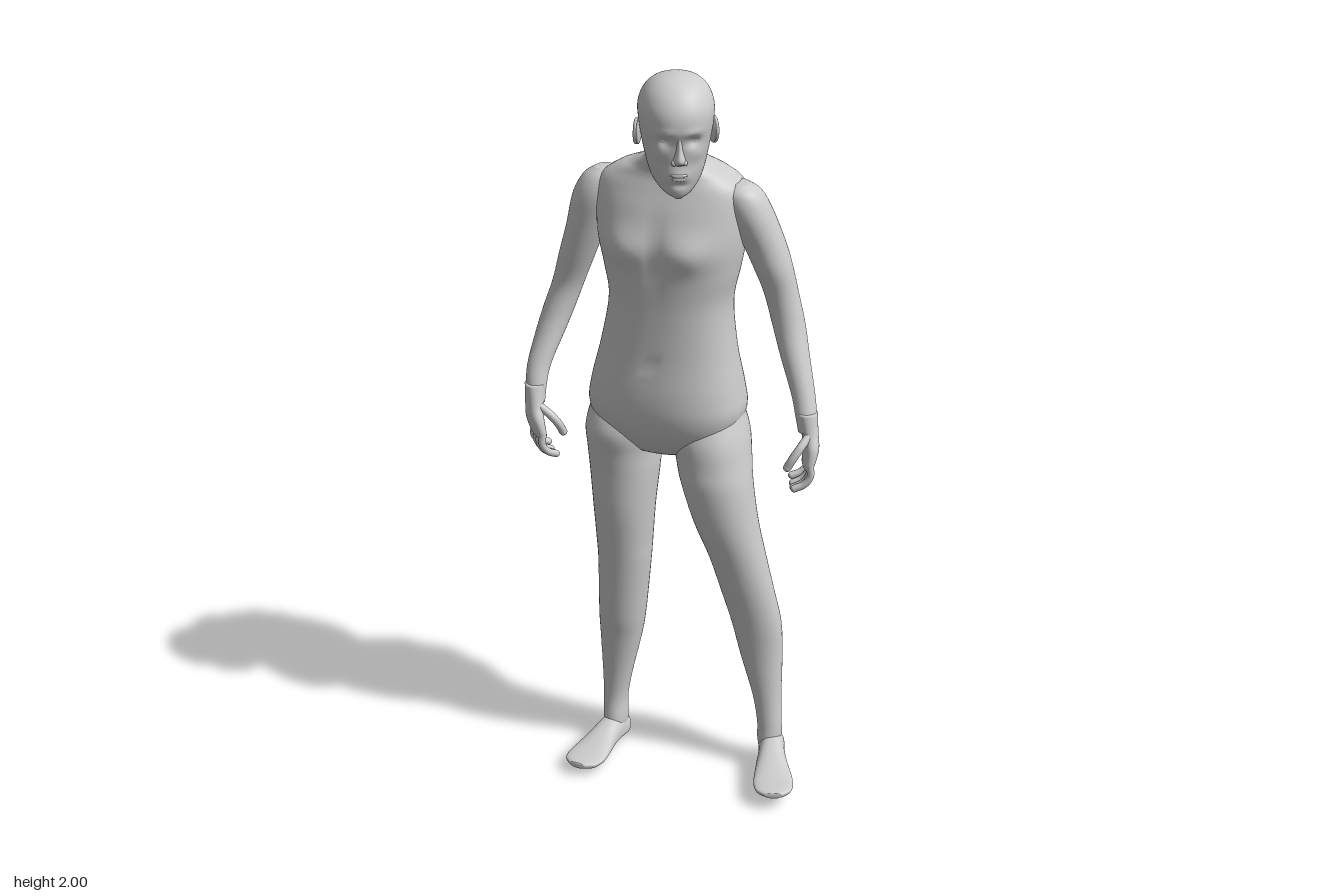
import * as THREE from 'three';

const skin = new THREE.MeshStandardMaterial({ color: 0xcccccc });
skin.name = 'skinGrey';

const gauss = (d, s) => Math.exp(-(d * d) / (s * s));

function part(name, geometry, parent) {
  const m = new THREE.Mesh(geometry, skin);
  m.name = name;
  parent.add(m);
  return m;
}

function ellipsoid(name, parent, pos, scale) {
  const m = part(name, new THREE.SphereGeometry(1, 24, 16), parent);
  m.position.set(...pos);
  m.scale.set(...scale);
  return m;
}

// Smooth interpolation between cross-sections
function spline(s, i, t) {
  const p0 = s[Math.max(i - 1, 0)], p1 = s[i], p2 = s[i + 1], p3 = s[Math.min(i + 2, s.length - 1)];
  return p1.map((b, k) => {
    const a = p0[k], c = p2[k], d = p3[k];
    return b + 0.5 * t * (c - a + t * (2 * a - 5 * b + 4 * c - d + t * (3 * (b - c) + d - a)));
  });
}

// Sections, rising: [x, y, z, halfWidth, frontDepth, backDepth].
// Bumps: [u, y, spreadU, spreadY, amount, side (1 front, -1 back)], mirrored in u.
function loft(sections, { yaw = 0, power = 2, bumps = [], seg = 40, steps = 6 } = {}) {
  const s = [...sections].sort((a, b) => a[1] - b[1]);
  const rings = [];
  for (let i = 0; i < s.length - 1; i++)
    for (let j = 0; j < steps; j++) rings.push(spline(s, i, j / steps));
  rings.push(s[s.length - 1]);
  const cap = r => [r[0], r[1], r[2], 0, 0, 0];
  const all = [cap(rings[0]), ...rings, cap(rings[rings.length - 1])];
  const pos = [], idx = [], ca = Math.cos(yaw), sa = Math.sin(yaw);
  const bend = v => Math.sign(v) * Math.abs(v) ** (2 / power);
  all.forEach(([x, y, z, w, f, k], r) => {
    for (let j = 0; j < seg; j++) {
      const a = (j / seg) * Math.PI * 2, si = Math.sin(a);
      const u = bend(Math.cos(a)) * Math.max(w, 0);
      let v = bend(si) * Math.max(si > 0 ? f : k, 0);
      if (r > 0 && r < all.length - 1)
        for (const [bu, by, su, sy, amt, side] of bumps)
          if (si * side > 0) v += side * amt * Math.abs(si) * gauss(Math.abs(u) - bu, su) * gauss(y - by, sy);
      pos.push(x + u * ca - v * sa, y, z + u * sa + v * ca);
      if (r < all.length - 1) {
        const n = (j + 1) % seg, p = r * seg + j, q = r * seg + n;
        idx.push(p, p + seg, q, q, p + seg, q + seg);
      }
    }
  });
  const g = new THREE.BufferGeometry();
  g.setAttribute('position', new THREE.Float32BufferAttribute(pos, 3));
  g.setIndex(idx);
  g.computeVertexNormals();
  return g;
}

function makeTorso(body) {
  part('torsoAndNeck', loft([
    [0, 0.95, -0.085, 0.10, 0.09, 0.10], [0, 1.0, -0.09, 0.18, 0.13, 0.155],
    [0, 1.06, -0.09, 0.21, 0.15, 0.168], [0, 1.13, -0.085, 0.203, 0.15, 0.16],
    [0.003, 1.24, -0.075, 0.18, 0.135, 0.13], [0.008, 1.37, -0.065, 0.163, 0.125, 0.12],
    [0.01, 1.46, -0.065, 0.178, 0.13, 0.13], [0.01, 1.54, -0.07, 0.193, 0.138, 0.14],
    [0.01, 1.62, -0.075, 0.198, 0.122, 0.145], [0.01, 1.68, -0.075, 0.19, 0.1, 0.132],
    [0.01, 1.715, -0.07, 0.15, 0.085, 0.11], [0.01, 1.74, -0.055, 0.1, 0.075, 0.09],
    [0.01, 1.775, -0.02, 0.062, 0.065, 0.06], [0.01, 1.83, 0.03, 0.055, 0.05, 0.05],
  ], {
    yaw: 0.44, power: 2.35, seg: 72, bumps: [
      [0.09, 1.53, 0.06, 0.045, 0.017, 1],    // chest
      [0, 1.53, 0.022, 0.09, -0.008, 1],      // breastbone
      [0, 1.225, 0.012, 0.012, -0.008, 1],    // navel
      [0.1, 1.56, 0.05, 0.08, 0.012, -1],     // shoulder blades
      [0, 1.42, 0.025, 0.2, -0.014, -1],      // spine
      [0.09, 1.06, 0.06, 0.06, 0.012, -1],    // buttocks
      [0, 1.02, 0.022, 0.08, -0.04, -1],      // cleft
    ],
  }), body);
}

function makeHead(body) {
  const head = new THREE.Group();
  head.name = 'head';
  body.add(head);
  // y, front z, back z, half width
  const profile = [
    [1.702, 0.138, 0.10, 0.018], [1.715, 0.15, 0.06, 0.042], [1.74, 0.156, 0.03, 0.06],
    [1.77, 0.16, -0.005, 0.071], [1.80, 0.161, -0.03, 0.078], [1.84, 0.166, -0.042, 0.086],
    [1.88, 0.176, -0.046, 0.092], [1.92, 0.172, -0.044, 0.094], [1.955, 0.153, -0.03, 0.083],
    [1.98, 0.125, -0.005, 0.062], [1.994, 0.095, 0.022, 0.036], [2.0, 0.065, 0.05, 0.008],
  ];
  part('skull', loft(profile.map(([y, f, b, w]) => [0.01, y, 0.05, w, f - 0.05, 0.05 - b]), {
    power: 2.15, seg: 96, bumps: [
      [0.035, 1.854, 0.017, 0.013, -0.014, 1],  // eye sockets
      [0.035, 1.877, 0.025, 0.008, 0.004, 1],   // brows
      [0.05, 1.82, 0.02, 0.018, 0.006, 1],      // cheekbones
      [0, 1.765, 0.025, 0.016, 0.005, 1],       // mouth
      [0, 1.742, 0.025, 0.008, -0.005, 1],      // chin crease
    ],
  }), head);
  part('nose', loft([
    [0.01, 1.793, 0.148, 0.01, 0.014, 0.01], [0.01, 1.801, 0.148, 0.018, 0.03, 0.01],
    [0.01, 1.811, 0.148, 0.016, 0.037, 0.01], [0.01, 1.835, 0.148, 0.010, 0.029, 0.01],
    [0.01, 1.868, 0.148, 0.009, 0.023, 0.01],
  ], { seg: 24 }), head);
  ellipsoid('upperLip', head, [0.01, 1.769, 0.159], [0.021, 0.005, 0.007]);
  ellipsoid('lowerLip', head, [0.01, 1.759, 0.158], [0.018, 0.0055, 0.007]);
  for (const [side, name] of [[1, 'left'], [-1, 'right']]) {
    ellipsoid(name + 'Eye', head, [0.01 + side * 0.034, 1.854, 0.138], [0.015, 0.01, 0.012]);
    ellipsoid(name + 'Nostril', head, [0.01 + side * 0.013, 1.802, 0.164], [0.007, 0.007, 0.01]);
    // Ear: flat lobe with a raised rim
    const ear = new THREE.Group();
    ear.name = name + 'Ear';
    ellipsoid('earLobe', ear, [0, 0, 0], [0.007, 0.035, 0.022]);
    const rim = part('earRim', new THREE.TorusGeometry(0.026, 0.005, 10, 32, 4.6), ear);
    rim.rotation.set(0, Math.PI / 2, 0);
    rim.scale.set(0.75, 1.15, 1);
    rim.position.x = side * 0.005;
    ear.position.set(0.01 + side * 0.091, 1.847, 0.04);
    ear.rotation.set(0.15, side * 0.3, 0);
    head.add(ear);
  }
}

function makeLimbs(body) {
  part('leftLeg', loft([
    [0.10, 1.08, -0.045, 0.09, 0.09, 0.11], [0.11, 1.0, -0.038, 0.102, 0.118, 0.142],
    [0.118, 0.93, -0.02, 0.1, 0.112, 0.112], [0.124, 0.87, 0, 0.096, 0.1, 0.1],
    [0.147, 0.76, 0.01, 0.087, 0.088, 0.085], [0.18, 0.65, 0.015, 0.077, 0.072, 0.07],
    [0.207, 0.55, 0.015, 0.073, 0.062, 0.06], [0.235, 0.44, 0.01, 0.068, 0.056, 0.066],
    [0.25, 0.34, 0.01, 0.058, 0.05, 0.056], [0.266, 0.22, 0.025, 0.04, 0.039, 0.037],
    [0.273, 0.14, 0.036, 0.034, 0.036, 0.035], [0.275, 0.09, 0.032, 0.034, 0.045, 0.034],
    [0.277, 0.055, 0.03, 0.03, 0.05, 0.03],
  ], { yaw: 0.3, power: 2.1 }), body);
  part('rightLeg', loft([
    [-0.10, 1.08, -0.13, 0.09, 0.09, 0.105], [-0.11, 1.0, -0.13, 0.102, 0.12, 0.13],
    [-0.112, 0.93, -0.128, 0.098, 0.11, 0.108], [-0.112, 0.87, -0.123, 0.094, 0.1, 0.097],
    [-0.115, 0.76, -0.117, 0.084, 0.088, 0.087], [-0.115, 0.65, -0.12, 0.077, 0.077, 0.075],
    [-0.116, 0.58, -0.12, 0.073, 0.069, 0.07], [-0.123, 0.42, -0.13, 0.065, 0.062, 0.074],
    [-0.127, 0.34, -0.136, 0.058, 0.053, 0.066], [-0.137, 0.22, -0.139, 0.042, 0.041, 0.044],
    [-0.143, 0.14, -0.138, 0.034, 0.036, 0.035], [-0.143, 0.08, -0.137, 0.034, 0.045, 0.034],
    [-0.143, 0.035, -0.137, 0.03, 0.05, 0.03],
  ], { yaw: 0.44, power: 2.1 }), body);
  part('leftArm', loft([
    [0.175, 1.695, -0.002, 0.025, 0.025, 0.03], [0.182, 1.672, 0, 0.05, 0.052, 0.056],
    [0.2, 1.62, 0, 0.061, 0.064, 0.066], [0.24, 1.53, 0.003, 0.056, 0.06, 0.06],
    [0.262, 1.47, 0.008, 0.051, 0.055, 0.055], [0.284, 1.4, 0.008, 0.045, 0.049, 0.05],
    [0.303, 1.32, 0.02, 0.043, 0.045, 0.045], [0.318, 1.24, 0.05, 0.038, 0.04, 0.04],
    [0.336, 1.15, 0.09, 0.031, 0.03, 0.032], [0.342, 1.1, 0.11, 0.028, 0.028, 0.028],
    [0.345, 1.06, 0.12, 0.024, 0.026, 0.026],
  ]), body);
  part('rightArm', loft([
    [-0.155, 1.695, -0.155, 0.025, 0.025, 0.03], [-0.163, 1.672, -0.158, 0.05, 0.052, 0.054],
    [-0.18, 1.62, -0.163, 0.06, 0.064, 0.064], [-0.205, 1.53, -0.175, 0.053, 0.058, 0.06],
    [-0.226, 1.46, -0.188, 0.049, 0.053, 0.054], [-0.252, 1.37, -0.205, 0.043, 0.046, 0.048],
    [-0.278, 1.3, -0.2, 0.042, 0.043, 0.044], [-0.302, 1.24, -0.185, 0.039, 0.04, 0.04],
    [-0.335, 1.16, -0.15, 0.032, 0.03, 0.032], [-0.345, 1.11, -0.132, 0.028, 0.028, 0.028],
    [-0.348, 1.06, -0.12, 0.024, 0.026, 0.026],
  ]), body);
}

// Foot: lofted heel to toe, then laid forward
function makeFoot(name, body, pos, yaw, pitch) {
  const g = loft([
    [0, -0.043, -0.03, 0.012, 0.01, 0.012], [0, -0.034, -0.028, 0.027, 0.023, 0.026],
    [0, -0.008, -0.026, 0.036, 0.026, 0.045], [0, 0.04, -0.026, 0.036, 0.024, 0.048],
    [0, 0.09, -0.024, 0.042, 0.022, 0.034], [0.002, 0.14, -0.022, 0.05, 0.021, 0.02],
    [0.003, 0.185, -0.02, 0.054, 0.02, 0.012], [0.003, 0.22, -0.019, 0.046, 0.017, 0.009],
    [0.003, 0.24, -0.018, 0.022, 0.01, 0.006],
  ], { power: 2.3 });
  g.rotateX(Math.PI / 2);
  const foot = part(name, g, body);
  foot.position.set(...pos);
  foot.rotation.set(-pitch, -yaw, 0, 'YXZ');
}

// Hand: palm, four curled fingers and a thumb; side -1 mirrors it
function makeHand(name, body, side, pos, yaw) {
  const hand = new THREE.Group();
  hand.name = name;
  hand.position.set(...pos);
  hand.rotation.y = yaw;
  body.add(hand);
  const sections = [
    [0, 0.03, 0, 0.026, 0.026, 0.026], [0.006, -0.02, 0.008, 0.022, 0.032, 0.03],
    [0.009, -0.06, 0.018, 0.02, 0.04, 0.037], [0.002, -0.1, 0.024, 0.016, 0.04, 0.038],
    [0, -0.113, 0.025, 0.01, 0.034, 0.034],
  ];
  part('palm', loft(sections.map(([x, ...rest]) => [x * side, ...rest]), { power: 2.3 }), hand);
  const digit = (label, pts, r) => {
    const v = pts.map(([x, y, z]) => new THREE.Vector3(x * side, y, z));
    part(label, new THREE.TubeGeometry(new THREE.CatmullRomCurve3(v), 16, r, 12), hand);
    ellipsoid(label + 'Tip', hand, v[v.length - 1].toArray(), [r, r, r]);
  };
  [0.92, 1, 0.95, 0.75].forEach((len, i) => {
    const z = 0.025 + (1.5 - i) * 0.0205;
    digit('finger', [[0.002, -0.095, z], [0.004, -0.1 - 0.03 * len, z],
      [-0.012, -0.1 - 0.055 * len, z * 0.97], [-0.036, -0.1 - 0.068 * len, z * 0.92]], 0.0098);
  });
  digit('thumb', [[0, -0.025, 0.03], [-0.025, -0.05, 0.052], [-0.043, -0.075, 0.058], [-0.056, -0.1, 0.055]], 0.011);
}

export function createModel() {
  const body = new THREE.Group();
  body.name = 'standingFigure';
  makeTorso(body);
  makeHead(body);
  makeLimbs(body);
  makeFoot('leftFoot', body, [0.28, 0.033, 0.037], 0.1, 0);
  makeFoot('rightFoot', body, [-0.143, 0.004, -0.137], 0.54, 0.07);
  makeHand('leftHand', body, 1, [0.345, 1.08, 0.115], 0);
  makeHand('rightHand', body, -1, [-0.35, 1.08, -0.126], 0.35);
  return body;
}
